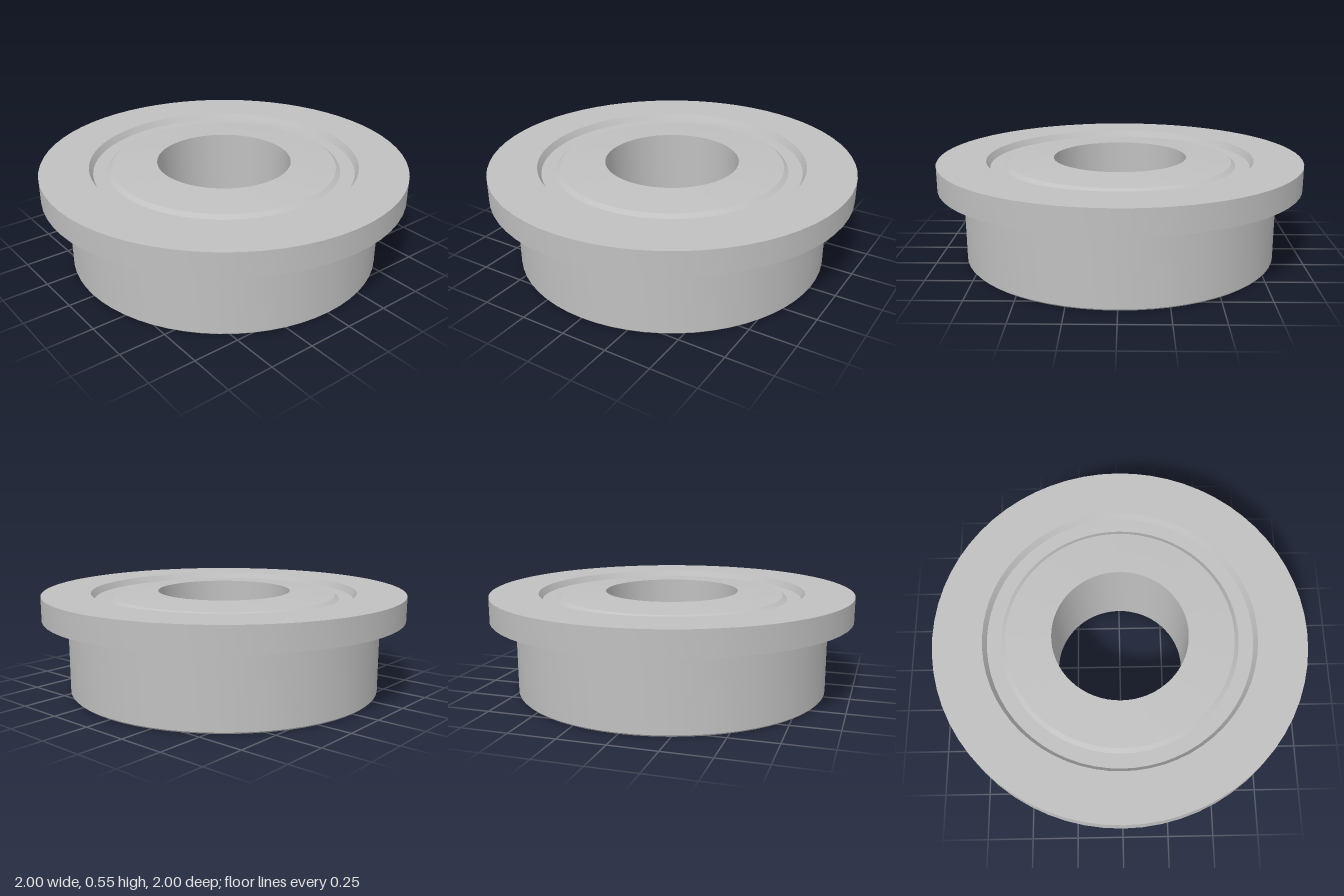
import * as THREE from 'three';
import { toCreasedNormals } from 'three/addons/utils/BufferGeometryUtils.js';

const SEGMENTS = 64;

export function createModel() {
  const model = new THREE.Group();
  model.name = 'flangedBearing';

  const steel = new THREE.MeshStandardMaterial({ color: 0xc0c0c0 });
  steel.name = 'steel grey';

  // Revolves a [radius, height] profile, keeping its corners sharp
  function ring(name, profile) {
    const points = profile.map(([r, y]) => new THREE.Vector2(r, y));
    const lathe = new THREE.LatheGeometry(points, SEGMENTS);
    const mesh = new THREE.Mesh(toCreasedNormals(lathe, Math.PI / 9), steel);
    mesh.name = name;
    model.add(mesh);
  }

  // Outer ring with its flange and the recessed lips on both faces
  ring('outerRing', [
    [0.715, 0.035], [0.74, 0], [0.853, 0], [0.862, 0.009],
    [0.862, 0.412], [1, 0.412], [1, 0.545],
    [0.735, 0.545], [0.715, 0.51],
  ]);

  // Upper shield: groove floor, sloped edge and nearly flat face
  ring('upperShield', [[0.715, 0.51], [0.638, 0.51], [0.614, 0.528], [0.49, 0.537]]);

  // Inner ring: top face, bore and the raised bottom collar
  ring('innerRing', [[0.49, 0.537], [0.367, 0.545], [0.367, 0], [0.49, 0], [0.49, 0.02]]);

  // Lower shield, set back from the bottom face
  ring('lowerShield', [[0.49, 0.02], [0.614, 0.02], [0.638, 0.035], [0.715, 0.035]]);

  return model;
}
